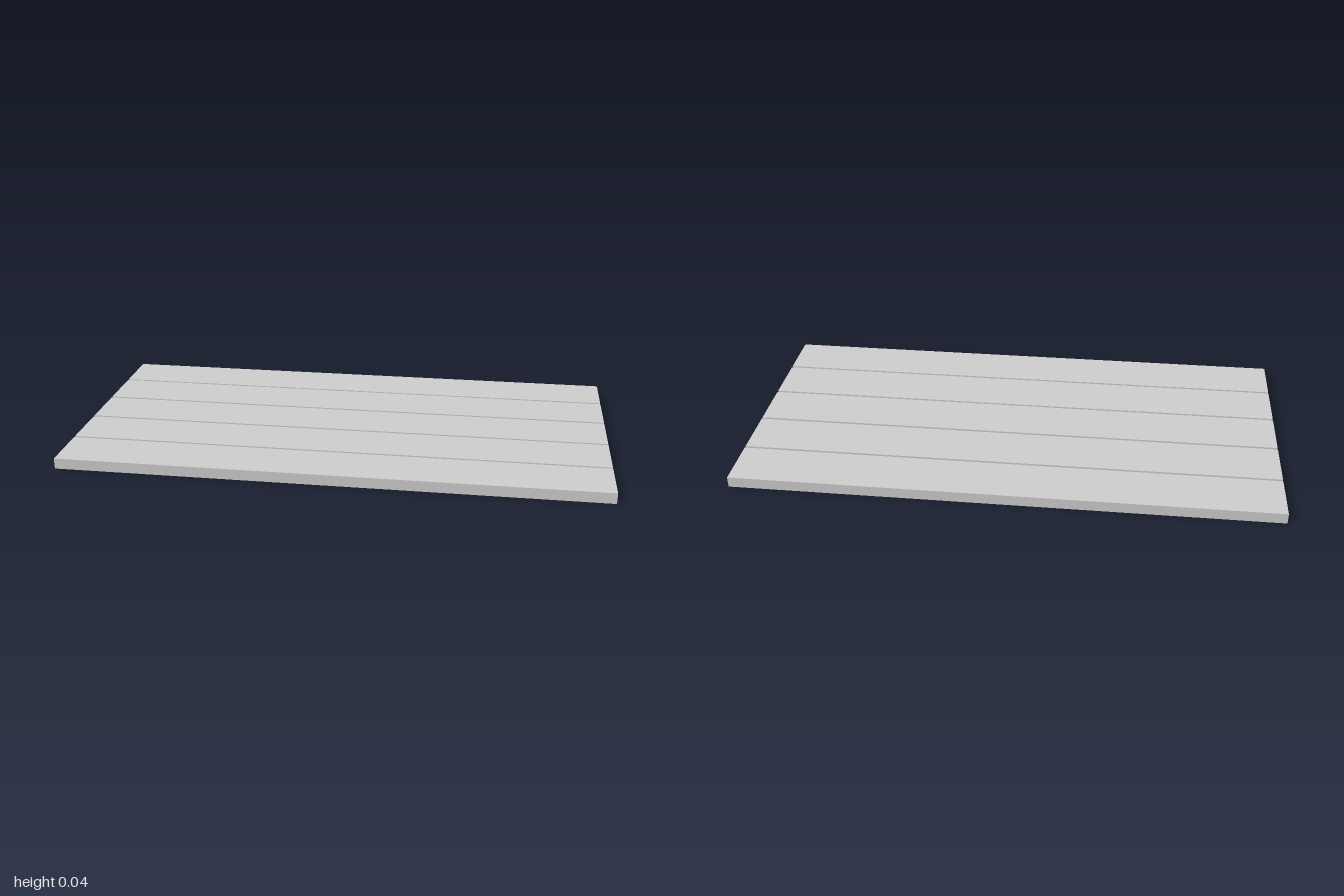
import * as THREE from 'three';

const LENGTH = 2, HEIGHT = 0.04, WIDTH = 0.198, PITCH = 0.208, COUNT = 5;

// A plank shell: top and four sides, open underneath
function plankGeometry() {
  const geometry = new THREE.BoxGeometry(LENGTH, HEIGHT, WIDTH);
  const index = Array.from(geometry.index.array);
  index.splice(18, 6); // drop the bottom face
  geometry.setIndex(index);
  geometry.clearGroups();
  return geometry.translate(0, HEIGHT / 2, 0);
}

export function createModel() {
  const model = new THREE.Group();
  model.name = 'plankPanel';
  const material = new THREE.MeshStandardMaterial({ color: 0xcccccc, side: THREE.DoubleSide });
  const geometry = plankGeometry();

  // Row of equal planks with narrow gaps, from back to front
  for (let i = 0; i < COUNT; i++) {
    const plank = new THREE.Mesh(geometry, material);
    plank.name = `plank${i + 1}`;
    plank.position.z = (i - (COUNT - 1) / 2) * PITCH;
    model.add(plank);
  }
  return model;
}
